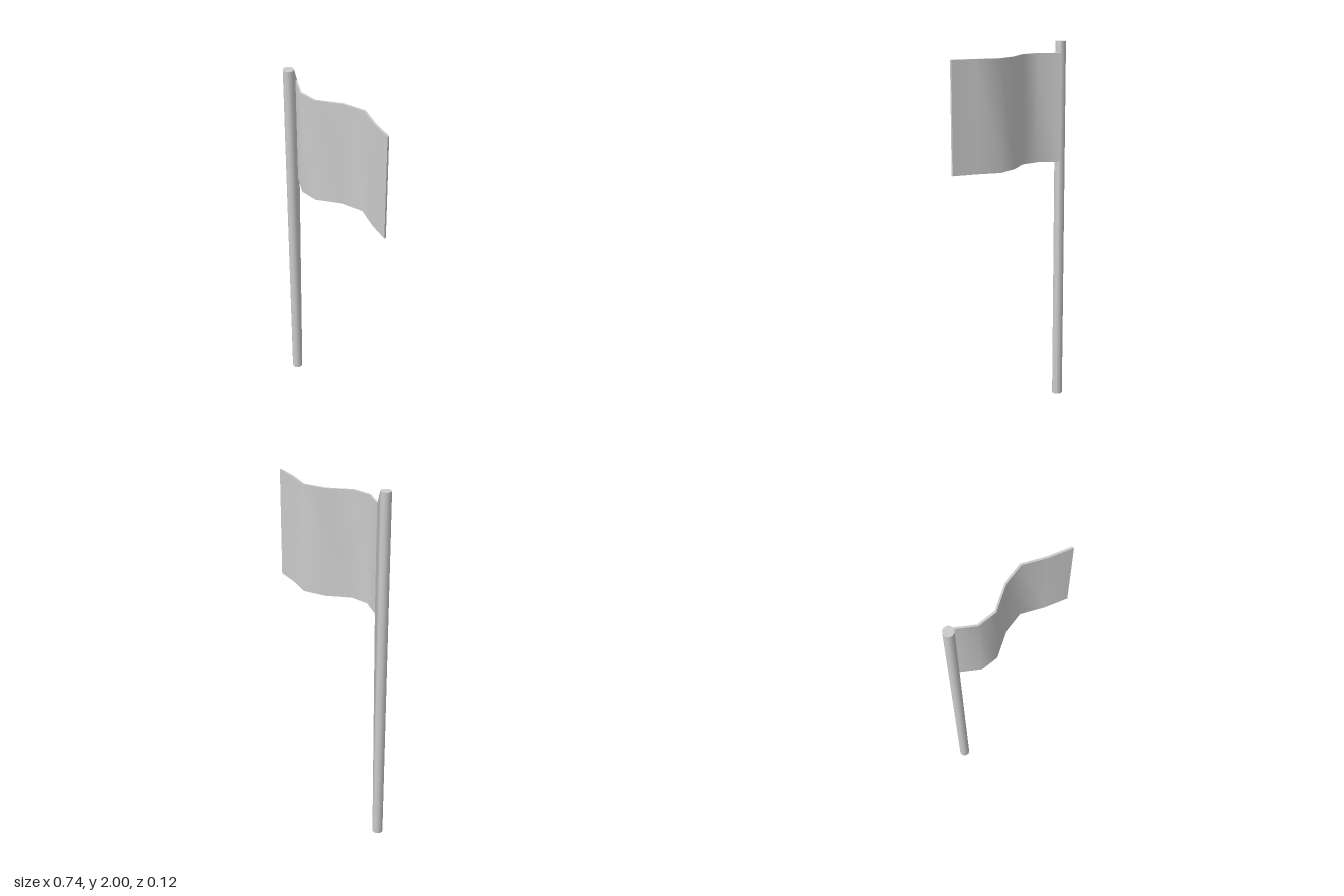
import * as THREE from 'three';
import { toCreasedNormals } from 'three/addons/utils/BufferGeometryUtils.js';
import { ConvexGeometry } from 'three/addons/geometries/ConvexGeometry.js';

const POLE = { x: -0.344, z: 0.011, radius: 0.028, height: 2, sides: 12 };
const FLAG = { bottom: 1.355, top: 1.94, thickness: 0.011 };

// Wave of the cloth seen from above, as [x, z]
const WAVE = [
  [-0.317, -0.015], [-0.212, 0.051], [-0.11, 0.051], [0.01, -0.025],
  [0.13, -0.054], [0.25, -0.003], [0.37, 0.033],
];

export function createModel() {
  const group = new THREE.Group();
  const material = new THREE.MeshStandardMaterial({ color: 0xcccccc });
  const add = (name, geometry) => {
    const mesh = new THREE.Mesh(geometry, material);
    mesh.name = name;
    group.add(mesh);
  };

  // Pole, with a flat side towards the flag
  const pole = new THREE.CylinderGeometry(POLE.radius, POLE.radius, POLE.height, POLE.sides);
  pole.rotateY(Math.PI / POLE.sides);
  pole.translate(POLE.x, POLE.height / 2, POLE.z);
  add('pole', pole);

  // Waving cloth: a thin ribbon outline extruded upwards
  const half = FLAG.thickness / 2;
  const front = WAVE.map(([x, z]) => new THREE.Vector2(x, -z - half));
  const back = WAVE.map(([x, z]) => new THREE.Vector2(x, -z + half)).reverse();
  const cloth = new THREE.ExtrudeGeometry(new THREE.Shape([...front, ...back]), {
    depth: FLAG.top - FLAG.bottom,
    bevelEnabled: false,
  });
  cloth.rotateX(-Math.PI / 2);
  cloth.translate(0, FLAG.bottom, 0);
  add('flagCloth', toCreasedNormals(cloth, 0.8));

  // Slim web tapering from the cloth's inner edge to both ends of the pole
  const web = [];
  for (const y of [0, POLE.height]) {
    for (const angle of [-Math.PI / 12, -Math.PI / 4]) {
      web.push(new THREE.Vector3(
        POLE.x + POLE.radius * Math.cos(angle), y, POLE.z + POLE.radius * Math.sin(angle)));
    }
  }
  const [rootX, rootZ] = WAVE[0];
  for (const y of [FLAG.bottom, FLAG.top]) {
    for (const dz of [-half, half]) web.push(new THREE.Vector3(rootX, y, rootZ + dz));
  }
  add('flagMount', new ConvexGeometry(web));

  return group;
}
